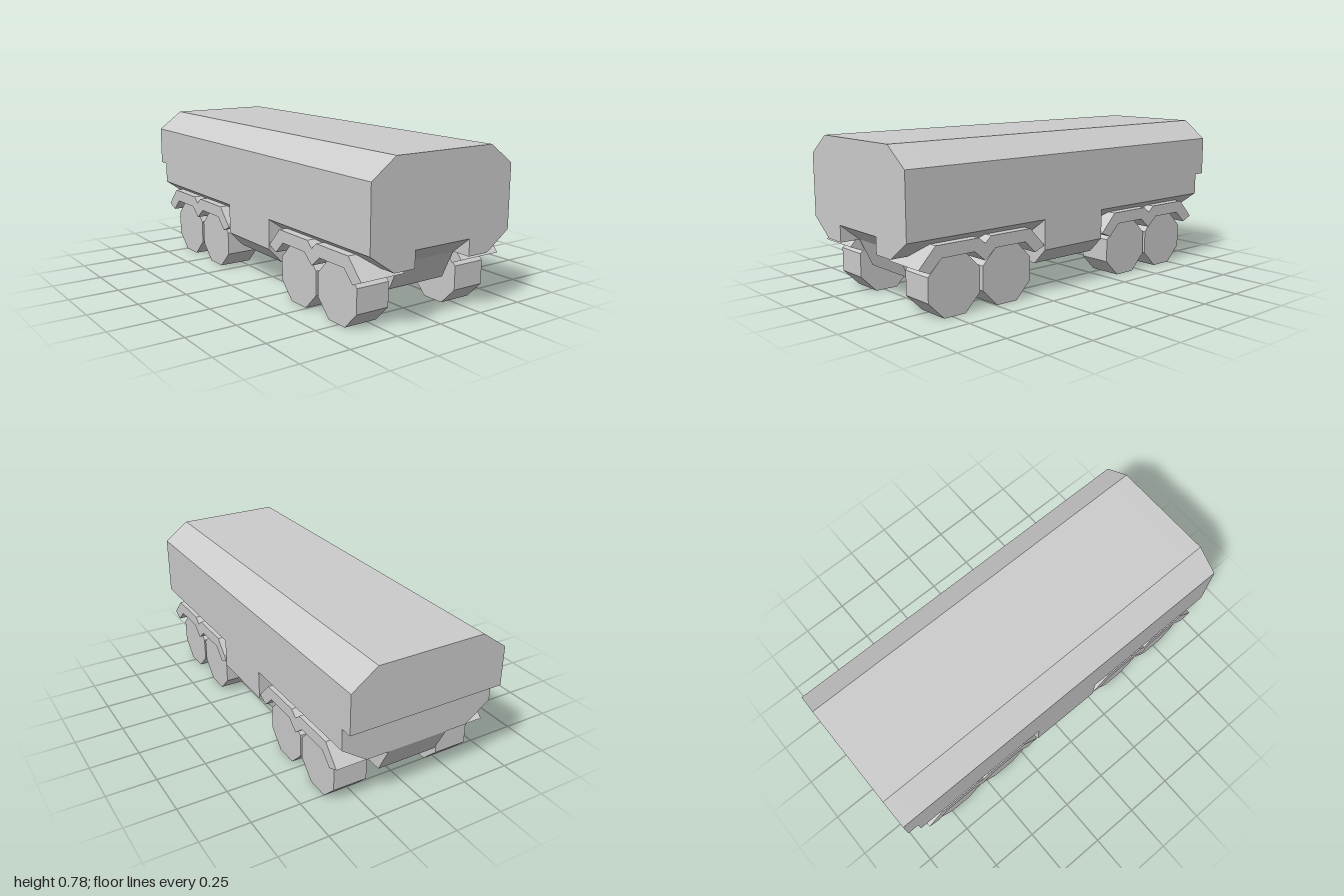
import * as THREE from 'three';

const grey = new THREE.MeshStandardMaterial({ color: 0xcccccc, flatShading: true });

function part(name, geometry) {
  const mesh = new THREE.Mesh(geometry, grey);
  mesh.name = name;
  return mesh;
}

function prism(points, depth) {
  const shape = new THREE.Shape(points.map(([a, b]) => new THREE.Vector2(a, b)));
  return new THREE.ExtrudeGeometry(shape, { depth, bevelEnabled: false });
}

// Cross-section in x, y drawn out from z0 to z1
const alongZ = (points, z0, z1) => prism(points, z1 - z0).translate(0, 0, z0);

// Side profile in z, y drawn out from x0 to x1
const alongX = (points, x0, x1) =>
  prism(points, x1 - x0).rotateY(-Math.PI / 2).translate(x1, 0, 0);

// Right half of an outline, completed by its mirror image
const mirrored = (half) => [...half, ...half.map(([a, b]) => [-a, b]).reverse()];

export function createModel() {
  const model = new THREE.Group();
  model.name = 'tankTrailer';

  // Tank: eight-sided section, coupling notch at the front, overhang at the back
  const upper = [[0.405, 0.685], [0.275, 0.78]];
  const lower = [[0.275, 0.283], [0.405, 0.375]];
  const tank = new THREE.Group();
  tank.name = 'tank';
  tank.add(
    part('tankBody', alongZ(mirrored([...lower, ...upper]), -0.94, 0.9)),
    part('tankFront', alongZ(mirrored([[0.16, 0.365], [0.16, 0.283], ...lower, ...upper]), 0.9, 1)),
    part('tankRearOverhang', alongZ(mirrored([[0.405, 0.485], ...upper]), -1, -0.94)),
    part('notchCeiling', alongX([[0.9, 0.283], [1, 0.365], [0.9, 0.365]], -0.16, 0.16))
  );
  model.add(tank);

  // Side skirts between the axle groups
  model.add(part('middleSection',
    alongZ(mirrored([[0.33, 0.147], [0.405, 0.225], [0.405, 0.375]]), -0.17, 0.22)));

  // Chassis spine with sloped ends
  model.add(part('chassis',
    alongX([[-0.94, 0.283], [-0.87, 0.147], [0.835, 0.147], [0.9, 0.283]], -0.16, 0.16)));

  // Fender outline over a pair of wheels
  const fender = [
    [0, 0.235], [0.06, 0.285], [0.24, 0.285], [0.302, 0.225], [0.361, 0.25],
    [0.27, 0.345], [0.035, 0.345], [0, 0.315],
    [-0.035, 0.345], [-0.27, 0.345], [-0.361, 0.25], [-0.302, 0.225], [-0.24, 0.285], [-0.06, 0.285]
  ];

  // Eight-sided wheel resting on a flat
  const apothem = 0.1425;
  const radius = apothem / Math.cos(Math.PI / 8);
  const wheel = new THREE.CylinderGeometry(radius, radius, 0.175, 8)
    .rotateY(Math.PI / 8).rotateZ(Math.PI / 2);

  for (const [end, zMid] of [['front', 0.584], ['rear', -0.54]]) {
    for (const [side, s] of [['Left', 1], ['Right', -1]]) {
      const bogie = new THREE.Group();
      bogie.name = `${end}${side}WheelGroup`;
      bogie.position.z = zMid;
      bogie.add(part('fender', alongX(fender, s > 0 ? 0.17 : -0.405, s > 0 ? 0.405 : -0.17)));
      for (const dz of [0.151, -0.151]) {
        const w = part('wheel', wheel);
        w.position.set(s * 0.2875, apothem, dz);
        bogie.add(w);
      }
      model.add(bogie);
    }
  }
  return model;
}
